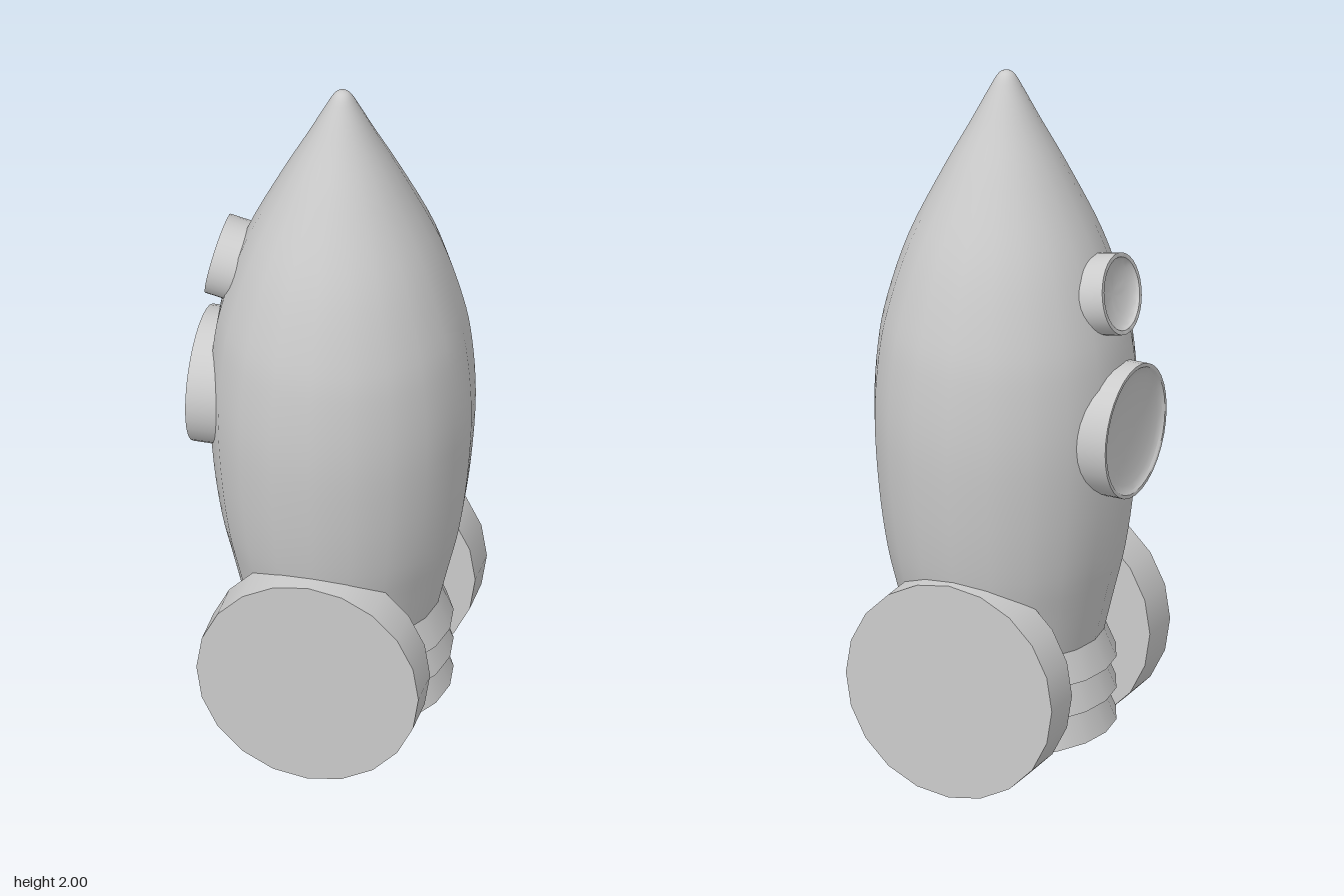
import * as THREE from 'three';
import { toCreasedNormals } from 'three/addons/utils/BufferGeometryUtils.js';

const SIDES = 20;
const CX = 0.015, CZ = -0.005; // axis of the hull

export function createModel() {
  const group = new THREE.Group();
  const mat = new THREE.MeshStandardMaterial({ color: 0xcccccc });

  const add = (name, geometry, x, y, z) => {
    const mesh = new THREE.Mesh(geometry, mat);
    mesh.name = name;
    mesh.position.set(x, y, z);
    group.add(mesh);
    return mesh;
  };

  // Hull: smooth bullet profile, bottom to rounded tip
  const key = [
    [0.262, 0.36], [0.295, 0.5], [0.325, 0.63], [0.348, 0.8], [0.36, 1.0], [0.35, 1.18],
    [0.325, 1.32], [0.265, 1.51], [0.17, 1.71], [0.096, 1.85], [0.05, 1.94], [0.022, 1.99], [0, 2.0],
  ].map(([r, y]) => new THREE.Vector2(r, y));
  const profile = new THREE.SplineCurve(key).getPoints(48);
  profile.forEach((p) => { p.x = Math.max(p.x, 0); p.y = Math.min(p.y, 2); });
  add('hull', new THREE.LatheGeometry(profile, SIDES), CX, 0, CZ);

  // Engine skirt: three stacked bands, each flaring downwards
  const bandHeight = 0.092;
  for (let i = 0; i < 3; i++) {
    const band = new THREE.CylinderGeometry(0.262, 0.3, bandHeight, SIDES);
    add('skirtBand' + (i + 1), band, CX, 0.115 + bandHeight * (i + 0.5), CZ);
  }

  // Large round discs at the front and back
  for (const [name, s] of [['frontDisc', 1], ['backDisc', -1]]) {
    const disc = new THREE.CylinderGeometry(0.31, 0.31, 0.123, SIDES).rotateX(Math.PI / 2);
    add(name, disc, CX, 0.31, 0.005 + s * 0.298);
  }

  // Portholes: rimmed drum with a shallow dished face, pointing to -x
  const porthole = (name, r, rim, dish, length, x, y, tilt) => {
    const points = [new THREE.Vector2(0, -length), new THREE.Vector2(r, -length), new THREE.Vector2(r, 0),
      new THREE.Vector2(r - rim, 0)];
    for (let i = 1; i <= 6; i++) {
      const a = (i / 6) * Math.PI / 2;
      points.push(new THREE.Vector2((r - rim) * Math.cos(a), -dish * Math.sin(a)));
    }
    points[points.length - 1].x = 0;
    const geometry = toCreasedNormals(new THREE.LatheGeometry(points, 32), 0.7);
    const mesh = add(name, geometry, x, y, CZ);
    mesh.rotation.z = Math.PI / 2 - tilt;
  };
  porthole('largePorthole', 0.187, 0.01, 0.025, 0.15, -0.375, 1.015, 0);
  porthole('smallPorthole', 0.112, 0.012, 0.03, 0.13, -0.333, 1.41, 0.2);

  return group;
}
